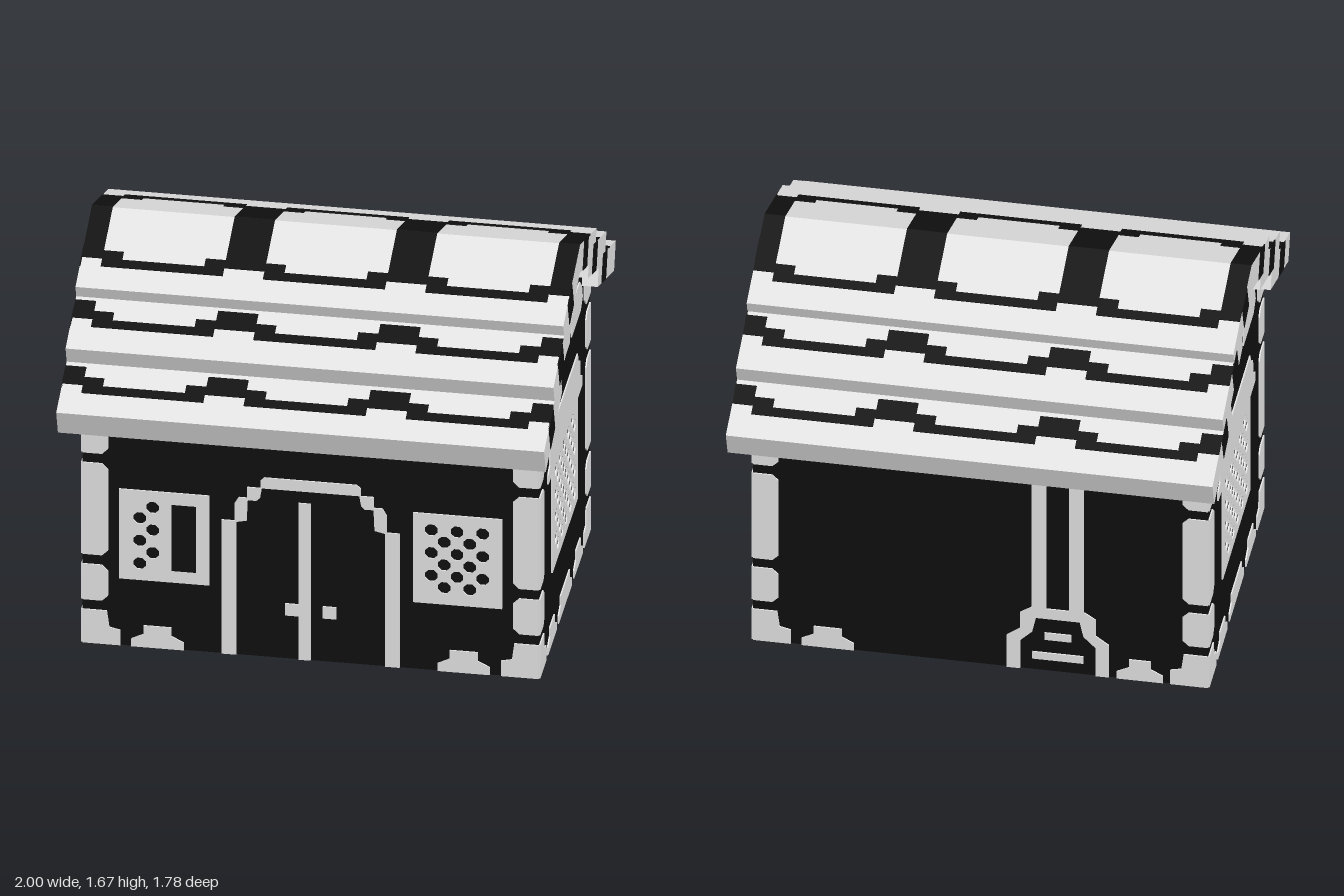
import * as THREE from 'three';

const light = new THREE.MeshStandardMaterial({ color: 0xe4e4e4 });
light.name = 'lightGrey';
const dark = new THREE.MeshStandardMaterial({ color: 0x0f0f0f });
dark.name = 'black';

const HALF_X = 0.935, HALF_Z = 0.625, T = 0.006;
const SLOPE = THREE.MathUtils.degToRad(20), TAN = Math.tan(SLOPE);

const toShape = pts => new THREE.Shape(pts.map(p => new THREE.Vector2(p[0], p[1])));
const rect = (x0, x1, y0, y1) => [[x0, y0], [x1, y0], [x1, y1], [x0, y1]];
const mirror = pts => pts.map(([x, y]) => [-x, y]);

function add(parent, name, geometry, material) {
  const mesh = new THREE.Mesh(geometry, material);
  mesh.name = name;
  parent.add(mesh);
  return mesh;
}

// Thin painted plate lying on a wall; holes are lists of [x, y] centres
function plate(parent, name, pts, holes = [], material = light) {
  const shape = toShape(pts);
  for (const [x, y] of holes) {
    const r = 0.028, hole = new THREE.Path();
    for (let i = 0; i < 8; i++) {
      const a = (i + 0.5) * Math.PI / 4;
      const px = x + r * Math.cos(a), py = y + r * Math.sin(a);
      if (i) hole.lineTo(px, py); else hole.moveTo(px, py);
    }
    hole.closePath();
    shape.holes.push(hole);
  }
  return add(parent, name, new THREE.ExtrudeGeometry(shape, { depth: T, bevelEnabled: false }), material);
}

// Profile in (z, y) extruded from x0 to x1
function prism(parent, name, pts, x0, x1, material) {
  const g = new THREE.ExtrudeGeometry(toShape(pts), { depth: x1 - x0, bevelEnabled: false });
  g.rotateY(-Math.PI / 2);
  g.translate(x1, 0, 0);
  return add(parent, name, g, material);
}

function wall(parent, name, angle, distance) {
  const g = new THREE.Group();
  g.name = name;
  g.rotation.y = angle;
  g.position.set(Math.sin(angle) * distance, 0, Math.cos(angle) * distance);
  parent.add(g);
  return g;
}

// Corner stones at both edges of a wall of half width w
function cornerStones(parent, w) {
  const stones = [[0.2, 0.365], [0.41, 0.835], [0.88, 1.055]].map(([a, b]) => [
    [w, a], [w, b], [w - 0.08, b], [w - 0.105, b - 0.025], [w - 0.105, a + 0.025], [w - 0.08, a]]);
  stones.push([[w, 0], [w, 0.155], [w - 0.1, 0.155], [w - 0.11, 0.08], [w - 0.155, 0.07], [w - 0.155, 0]]);
  stones.push([[w, 1.1], [w, 1.16], [w - 0.14, 1.21], [w - 0.14, 1.14], [w - 0.1, 1.1]]
    .map(([x, y]) => [x, w > 0.9 ? Math.min(y, 1.16) : y]));
  for (const s of stones) {
    plate(parent, 'cornerStone', s);
    plate(parent, 'cornerStone', mirror(s));
  }
}

const footStone = (a, b) => [[a, 0], [b, 0], [b, 0.035], [b - 0.05, 0.06], [b - 0.05, 0.1],
  [a + 0.05, 0.1], [a + 0.05, 0.06], [a, 0.035]];

// Checkerboard of hole centres; odd rows are shifted by one column
function checker(cols, rows, x0, y0, step, parity) {
  const out = [];
  for (let r = 0; r < rows; r++)
    for (let c = 0; c < cols; c++)
      if ((r + c) % 2 === parity) out.push([x0 + c * step, y0 - r * 0.0525]);
  return out;
}

function frontWall(parent) {
  const g = wall(parent, 'frontWall', 0, HALF_Z);
  cornerStones(g, HALF_X);
  plate(g, 'footStone', footStone(0.52, 0.735));
  plate(g, 'footStone', footStone(-0.735, -0.52));
  // Stepped door frame
  const outer = [[-0.365, 0], [-0.365, 0.62], [-0.312, 0.62], [-0.312, 0.7], [-0.295, 0.73], [-0.26, 0.73],
    [-0.26, 0.78], [-0.205, 0.78], [-0.205, 0.815], [-0.19, 0.83]];
  const inner = [[-0.2, 0.78], [-0.207, 0.735], [-0.222, 0.72], [-0.258, 0.72], [-0.262, 0.625], [-0.305, 0.615], [-0.305, 0]];
  plate(g, 'doorFrame', [...outer, ...mirror(outer).reverse(), ...mirror(inner).reverse(), ...[...inner]]);
  plate(g, 'doorMiddle', rect(-0.05, 0, 0, 0.725));
  plate(g, 'doorHandle', rect(-0.105, -0.05, 0.2, 0.255));
  plate(g, 'doorHandle', rect(0.05, 0.105, 0.2, 0.255));
  // Windows
  plate(g, 'rightWindow', rect(-0.785, -0.415, 0.31, 0.725), checker(2, 6, -0.7, 0.65, 0.0525, 1));
  const pane = plate(g, 'windowPane', rect(-0.57, -0.47, 0.365, 0.67), [], dark);
  pane.position.z = 0.002;
  plate(g, 'leftWindow', rect(0.42, 0.785, 0.31, 0.725), checker(5, 6, 0.495, 0.65, 0.0525, 0));
}

function sideWall(parent, angle) {
  const g = wall(parent, 'sideWall', angle, HALF_X);
  cornerStones(g, HALF_Z);
  plate(g, 'footStone', footStone(-0.43, -0.215));
  plate(g, 'footStone', footStone(-0.165, 0.165));
  plate(g, 'footStone', footStone(0.215, 0.43));
  // Latticed window with a canopy
  plate(g, 'latticeWindow', rect(-0.32, 0.31, 0.32, 0.79), checker(10, 8, -0.24, 0.757, 0.0515, 0));
  const canopy = [[-0.42, 0.785], [-0.42, 0.83], [-0.375, 0.85], [-0.37, 0.925], [-0.325, 0.945], [-0.31, 0.99]];
  plate(g, 'windowCanopy', [...canopy, ...mirror(canopy).reverse()]);
  // Upper stones and gable panel
  const upper = [[0.155, 1.15], [0.38, 1.15], [0.43, 1.19], [0.41, 1.25], [0.36, 1.295], [0.23, 1.295], [0.165, 1.25]];
  plate(g, 'upperStone', upper);
  plate(g, 'upperStone', mirror(upper));
  plate(g, 'upperStone', [[-0.105, 1.15], [0.105, 1.15], [0.11, 1.25], [0.14, 1.26], [0.13, 1.3],
    [-0.13, 1.3], [-0.14, 1.26], [-0.11, 1.25]]);
  plate(g, 'gablePanel', [[-0.21, 1.395], [0.21, 1.395], [0.21, 1.455], [0, 1.535], [-0.21, 1.455]]);
}

function backWall(parent) {
  const g = wall(parent, 'backWall', Math.PI, HALF_Z);
  cornerStones(g, HALF_X);
  plate(g, 'footStone', footStone(0.56, 0.75));
  plate(g, 'footStone', footStone(-0.735, -0.52));
  // Hearth with its flue
  plate(g, 'flueEdge', rect(0.21, 0.27, 0.29, 1.16));
  plate(g, 'flueEdge', rect(0.365, 0.425, 0.29, 1.16));
  const o = [[-0.21, 0], [-0.21, 0.16], [-0.155, 0.2], [-0.155, 0.28], [-0.11, 0.31]];
  const i = [[-0.09, 0.26], [-0.105, 0.19], [-0.155, 0.14], [-0.155, 0]];
  const frame = plate(g, 'hearthFrame', [...o, ...mirror(o).reverse(), ...mirror(i).reverse(), ...i]);
  const slotA = plate(g, 'hearthSlot', rect(-0.055, 0.055, 0.155, 0.19));
  const slotB = plate(g, 'hearthSlot', rect(-0.105, 0.105, 0.055, 0.09));
  for (const m of [frame, slotA, slotB]) m.position.x = 0.318;
}

// One roof slope of three overlapping courses, falling towards local +z
function roofSlope(parent, angle, endBands) {
  const g = new THREE.Group();
  g.name = 'roofSlope';
  g.rotation.y = angle;
  parent.add(g);
  const dz = -0.042, dy = -0.115;
  // Outer z, inner z, height of the top line at z = 0, start of the painted band
  const courses = [
    [0.888, 0.48, 1.523, 0.65], [0.657, 0.24, 1.609, 0.41], [0.412, 0, 1.67, 0.17]];
  courses.forEach(([zo, zi, c, zb], n) => {
    const y = z => c - TAN * z;
    const low = n === 2 ? [0, 1.542] : [zi + dz, y(zi) + dy];
    prism(g, 'roofCourse', [[zi, y(zi)], [zo, y(zo)], [zo + dz, y(zo) + dy], low], -1, 1, light);
    const [a, b] = endBands[n];
    const band = [[a, y(a)], [b, y(b)], [b + dz, y(b) + dy], [a + dz, y(a) + dy]];
    prism(g, 'roofEndBand', band, 0.997, 1.002, dark);
    prism(g, 'roofEndBand', band, -1.002, -0.997, dark);
    // Painted tile outlines, laid on the slope
    const top = new THREE.Group();
    top.name = 'tileOutlines';
    top.position.y = c;
    top.rotation.x = SLOPE;
    g.add(top);
    const stripe = (x0, x1, z0, z1) => {
      const k = 1 / Math.cos(SLOPE);
      const m = add(top, 'tileOutline', new THREE.BoxGeometry(x1 - x0, T, (z1 - z0) * k), dark);
      m.position.set((x0 + x1) / 2, 0, (z0 + z1) / 2 * k);
    };
    for (const [x0, x1] of [[-1, -0.915], [-0.415, -0.25], [0.25, 0.415], [0.915, 1]])
      stripe(x0, x1, n === 2 ? 0 : zb, zb + 0.09);
    for (const x of [-0.665, 0, 0.665]) {
      stripe(x - 0.17, x + 0.17, zb + 0.09, zb + 0.13);
      for (const s of [-1, 1]) {
        const p = x + s * 0.168, q = x + s * 0.25;
        stripe(Math.min(p, q), Math.max(p, q), zb + 0.05, zb + 0.13);
      }
    }
  });
}

export function createModel() {
  const house = new THREE.Group();
  house.name = 'house';

  // Walls with the gable
  const edge = [[HALF_Z, 0], [HALF_Z, 1.2], [0.44, 1.33], [0.2, 1.44]];
  prism(house, 'walls', [...edge, [0, 1.55], ...mirror(edge).reverse()], -HALF_X, HALF_X, dark);
  frontWall(house);
  backWall(house);
  sideWall(house, Math.PI / 2);
  sideWall(house, -Math.PI / 2);

  // Patches on the underside
  const floor = new THREE.Group();
  floor.name = 'underside';
  floor.rotation.x = Math.PI / 2;
  floor.position.y = 0.004;
  house.add(floor);
  for (const r of [[0.34, 0.45, -0.62, 0.15], [0.72, 0.93, -0.56, -0.3], [0.66, 0.86, 0.3, 0.5],
    [0.5, 0.63, 0.14, 0.28], [0.84, 0.93, 0.5, 0.62]])
    plate(floor, 'undersidePatch', rect(...r));

  roofSlope(house, 0, [[0.665, 0.775], [0.435, 0.545], [0.2, 0.305]]);
  roofSlope(house, Math.PI, [[0.57, 0.677], [0.335, 0.44], [0.105, 0.21]]);
  return house;
}
